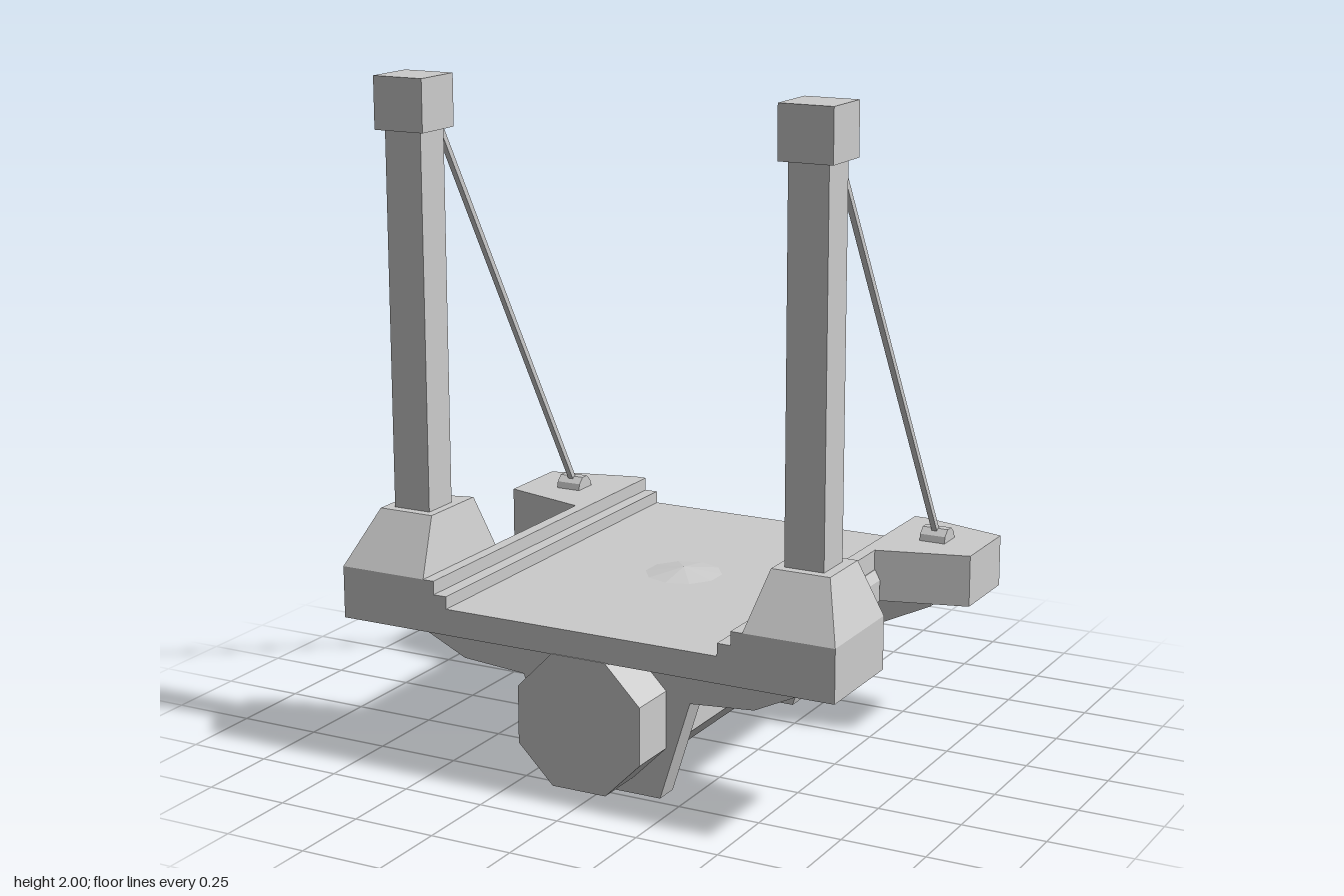
import * as THREE from 'three';

const mat = new THREE.MeshStandardMaterial({ color: 0xcccccc, flatShading: true });

function add(parent, name, geo, x = 0, y = 0, z = 0) {
  const m = new THREE.Mesh(geo, mat);
  m.name = name;
  m.position.set(x, y, z);
  parent.add(m);
  return m;
}

const shapeOf = pts => new THREE.Shape(pts.map(p => new THREE.Vector2(p[0], p[1])));

// Half profile (x >= 0, bottom to top) mirrored to a full outline
const mirrored = half => [...half, ...half.slice().reverse().map(([x, y]) => [-x, y])];

// Profile in x/y swept along z from z0 to z1
const prismZ = (pts, z0, z1) =>
  new THREE.ExtrudeGeometry(shapeOf(pts), { depth: z1 - z0, bevelEnabled: false }).translate(0, 0, z0);

// Plan in x/z raised from y0 to y1
const prismY = (pts, y0, y1) =>
  new THREE.ExtrudeGeometry(shapeOf(pts.map(([x, z]) => [x, -z])), { depth: y1 - y0, bevelEnabled: false })
    .rotateX(-Math.PI / 2).translate(0, y0, 0);

// Solid between a lower and an upper plan polygon: extrude, then move the top corners
function loft(lower, upper, y0, y1) {
  const geo = prismY(lower, y0, y1);
  const p = geo.attributes.position;
  for (let i = 0; i < p.count; i++) {
    if (p.getY(i) < (y0 + y1) / 2) continue;
    const k = lower.findIndex(([x, z]) => Math.hypot(p.getX(i) - x, p.getZ(i) - z) < 1e-4);
    p.setXYZ(i, upper[k][0], y1, upper[k][1]);
  }
  geo.computeVertexNormals();
  return geo;
}

// Square rod between two points
function rod(parent, name, a, b, size) {
  const m = add(parent, name, new THREE.BoxGeometry(size, size, a.distanceTo(b)));
  m.position.copy(a).add(b).multiplyScalar(0.5);
  m.lookAt(b);
}

export function createModel() {
  const root = new THREE.Group();
  root.name = 'mastPlatform';

  // Deck with stepped side rails
  add(root, 'deck', prismZ(mirrored([
    [0.51, 0.435], [0.51, 0.59], [0.473, 0.59], [0.473, 0.55], [0.432, 0.55], [0.432, 0.513],
  ]), -0.628, 0.625));

  // Shallow faceted boss in the middle of the deck
  add(root, 'deckBoss', new THREE.ConeGeometry(0.115, 0.018, 10, 1, true), 0, 0.522, 0);

  // Eight-sided keel under the deck
  add(root, 'keel', prismZ(mirrored([
    [0.085, 0.045], [0.195, 0.155], [0.195, 0.325], [0.085, 0.437],
  ]), -0.628, 0.628));

  // Cradle ribs holding the keel
  const rib = mirrored([
    [0.175, 0], [0.27, 0.3], [0.47, 0.315], [0.628, 0.39], [0.638, 0.437],
  ]);
  add(root, 'frontCradle', prismZ(rib, 0.397, 0.473));
  add(root, 'rearCradle', prismZ(rib, -0.468, -0.392));

  for (const s of [1, -1]) {
    const side = new THREE.Group();
    side.name = s > 0 ? 'leftSide' : 'rightSide';
    root.add(side);
    const flip = pts => pts.map(([x, z]) => [s * x, z]);

    // Corner pads
    add(side, 'frontPad', prismY(flip([[0.5, 0.625], [0.782, 0.625], [0.782, 0.31], [0.51, 0.235], [0.5, 0.235]]), 0.435, 0.59));
    add(side, 'rearPad', prismY(flip([[0.5, -0.628], [0.51, -0.628], [0.782, -0.555], [0.782, -0.315], [0.51, -0.24], [0.5, -0.24]]), 0.435, 0.59));

    // Bevelled ledge between the pads
    add(side, 'sideLedge', prismZ(
      [[0.505, 0.435], [0.528, 0.435], [0.528, 0.5], [0.512, 0.53], [0.505, 0.53]].map(([x, y]) => [s * x, y]),
      -0.24, 0.238));

    // Tapered mast foot; the right one follows the slanted pad edge
    const inner = s > 0 ? [0.31, 0.345] : [0.235, 0.298];
    add(side, 'mastFoot', loft(
      flip([[0.508, 0.625], [0.782, 0.625], [0.782, 0.31], [0.508, inner[0]]]),
      flip([[0.542, 0.522], [0.717, 0.522], [0.717, 0.345], [0.542, inner[1]]]),
      0.59, 0.748));

    // Mast and cap
    const x = s * 0.627;
    add(side, 'mast', new THREE.BoxGeometry(0.118, 1.12, 0.118), x, 1.3, 0.435);
    add(side, 'mastCap', new THREE.BoxGeometry(0.16, 0.152, 0.16), x, 1.924, 0.435);

    // Stay cable and its anchor block
    rod(side, 'stay', new THREE.Vector3(x, 1.93, 0.365), new THREE.Vector3(x, 0.605, -0.43), 0.017);
    const anchor = new THREE.ExtrudeGeometry(
      shapeOf([[0.393, 0.585], [0.475, 0.585], [0.466, 0.61], [0.445, 0.628], [0.418, 0.628], [0.398, 0.61]]),
      { depth: 0.08, bevelEnabled: false }).translate(0, 0, -0.04).rotateY(Math.PI / 2);
    add(side, 'stayAnchor', anchor, x, 0, 0);
  }
  return root;
}
